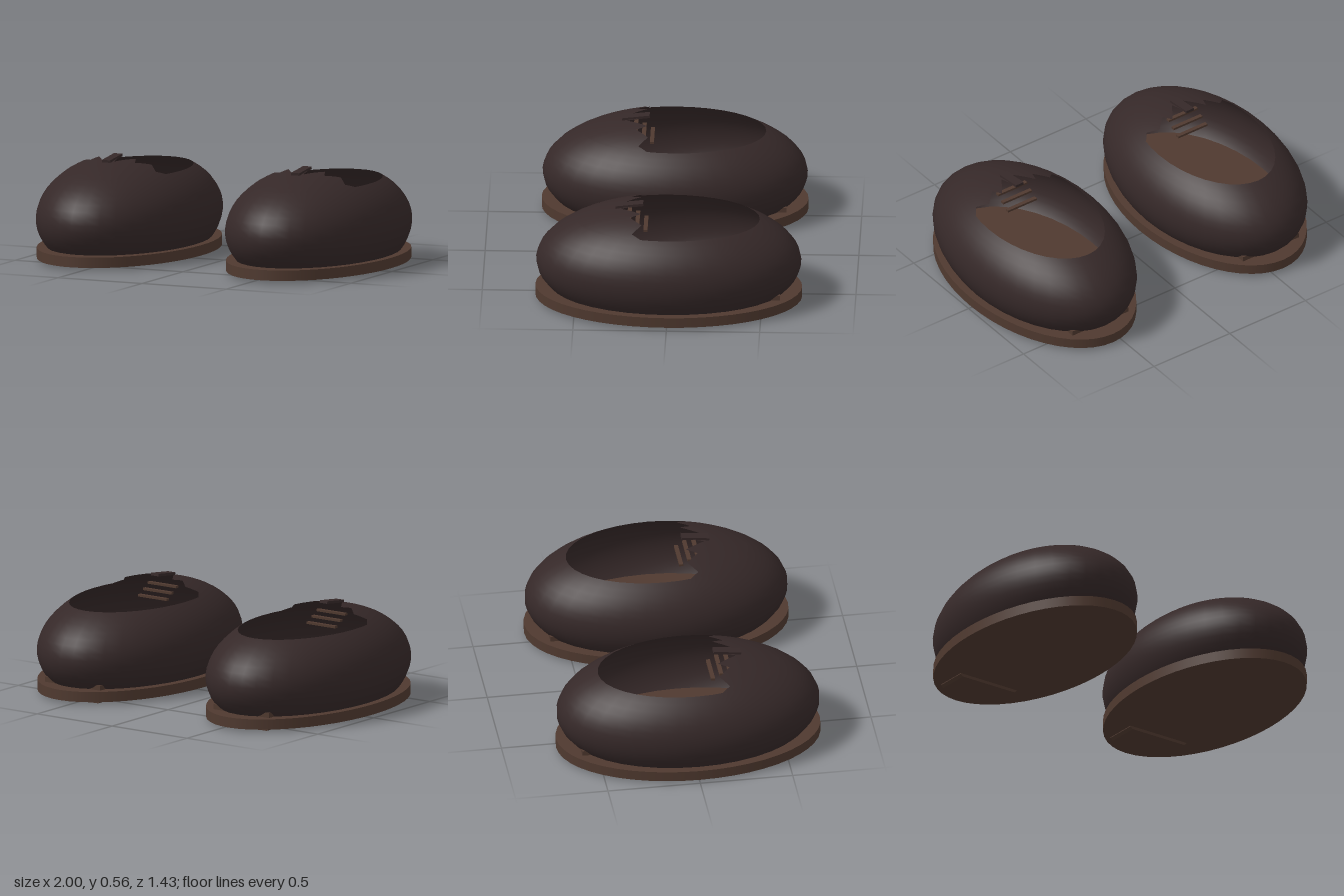
import * as THREE from 'three';

const RX = 0.437, RY = 0.33, RZ = 0.71, MID = 0.225; // ellipsoid of the upper
const RIM = 0.465, FLOOR = 0.065;                   // collar height, bottom cut

// Torn edge of the toe cap, right half: [x, z]
const HALF_TEAR = [[0, 0.137], [0.018, 0.14], [0.035, 0.255], [0.11, 0.145],
  [0.133, 0.205], [0.2, 0.14], [0.25, 0.19], [0.285, 0.145]];

const surfaceY = (x, z) => MID + RY * Math.sqrt(Math.max(0, 1 - (x / RX) ** 2 - (z / RZ) ** 2));

// Top patch of the ellipsoid between the torn edge and the collar line
function toeCapGeometry() {
  const tear = [...HALF_TEAR.slice(1).map(([x, z]) => [-x, z]).reverse(), ...HALF_TEAR];
  const columns = [];
  for (let i = 0; i < tear.length - 1; i++) {
    for (let k = 0; k < 4; k++) {
      const t = k / 4;
      columns.push([
        THREE.MathUtils.lerp(tear[i][0], tear[i + 1][0], t),
        THREE.MathUtils.lerp(tear[i][1], tear[i + 1][1], t)]);
    }
  }
  columns.push(tear[tear.length - 1]);

  const rimScale = Math.sqrt(1 - ((RIM - MID) / RY) ** 2);
  const rows = 8, pos = [], index = [];
  columns.forEach(([x, edge], c) => {
    const rim = RZ * rimScale * Math.sqrt(Math.max(0, 1 - (x / (RX * rimScale)) ** 2)) + 0.008;
    const start = Math.min(edge, rim);
    for (let r = 0; r <= rows; r++) {
      const z = THREE.MathUtils.lerp(start, rim, r / rows);
      pos.push(x, surfaceY(x, z), z);
      if (c < columns.length - 1 && r < rows) {
        const a = c * (rows + 1) + r, b = a + rows + 1;
        index.push(a, a + 1, b, a + 1, b + 1, b);
      }
    }
  });
  const g = new THREE.BufferGeometry();
  g.setAttribute('position', new THREE.Float32BufferAttribute(pos, 3));
  g.setIndex(index);
  g.computeVertexNormals();
  return g;
}

// Heel block with chamfered lower edges
function heelGeometry() {
  const s = new THREE.Shape();
  s.moveTo(-0.185, 0.1);
  s.lineTo(-0.185, 0.012);
  s.lineTo(-0.17, 0);
  s.lineTo(0.17, 0);
  s.lineTo(0.185, 0.012);
  s.lineTo(0.185, 0.1);
  return new THREE.ExtrudeGeometry(s, { depth: 0.18, bevelEnabled: false });
}

export function createModel() {
  const upperMat = new THREE.MeshStandardMaterial({ color: 0x352828, side: THREE.DoubleSide });
  upperMat.name = 'dark leather';
  const soleMat = new THREE.MeshStandardMaterial({ color: 0x4f392f });
  soleMat.name = 'brown sole';

  function add(parent, name, geometry, material, x = 0, y = 0, z = 0) {
    const m = new THREE.Mesh(geometry, material);
    m.name = name;
    m.position.set(x, y, z);
    parent.add(m);
    return m;
  }

  function makeShoe(name) {
    const shoe = new THREE.Group();
    shoe.name = name;

    // Open shell: sphere band from collar to sole
    const top = Math.acos((RIM - MID) / RY), bottom = Math.acos((FLOOR - MID) / RY);
    const shell = new THREE.SphereGeometry(1, 36, 12, 0, Math.PI * 2, top, bottom - top);
    shell.scale(RX, RY, RZ);
    add(shoe, 'upper', shell, upperMat, 0, MID, 0);
    add(shoe, 'toeCap', toeCapGeometry(), upperMat);

    // Raised tongue strip over the instep
    const tongue = add(shoe, 'tongue', new THREE.BoxGeometry(0.05, 0.014, 0.15), upperMat, 0, 0.543, 0.21);
    tongue.rotation.x = 0.12;

    // Laces stepping down into the opening
    for (let i = 0; i < 3; i++) {
      add(shoe, 'lace', new THREE.BoxGeometry(0.19, 0.012, 0.022), soleMat,
        0, 0.43 + i * 0.027, 0.122 + i * 0.044);
    }

    // Oval sole and heel block
    const sole = new THREE.CylinderGeometry(1, 1, 0.056, 48);
    sole.scale(0.428, 1, 0.714);
    add(shoe, 'sole', sole, soleMat, 0, 0.044, 0);
    add(shoe, 'heel', heelGeometry(), soleMat, 0, 0, -0.6);
    return shoe;
  }

  const model = new THREE.Group();
  model.name = 'pairOfShoes';
  for (const side of [1, -1]) {
    const shoe = makeShoe(side > 0 ? 'leftShoe' : 'rightShoe');
    shoe.position.x = side * 0.563;
    model.add(shoe);
  }
  return model;
}
